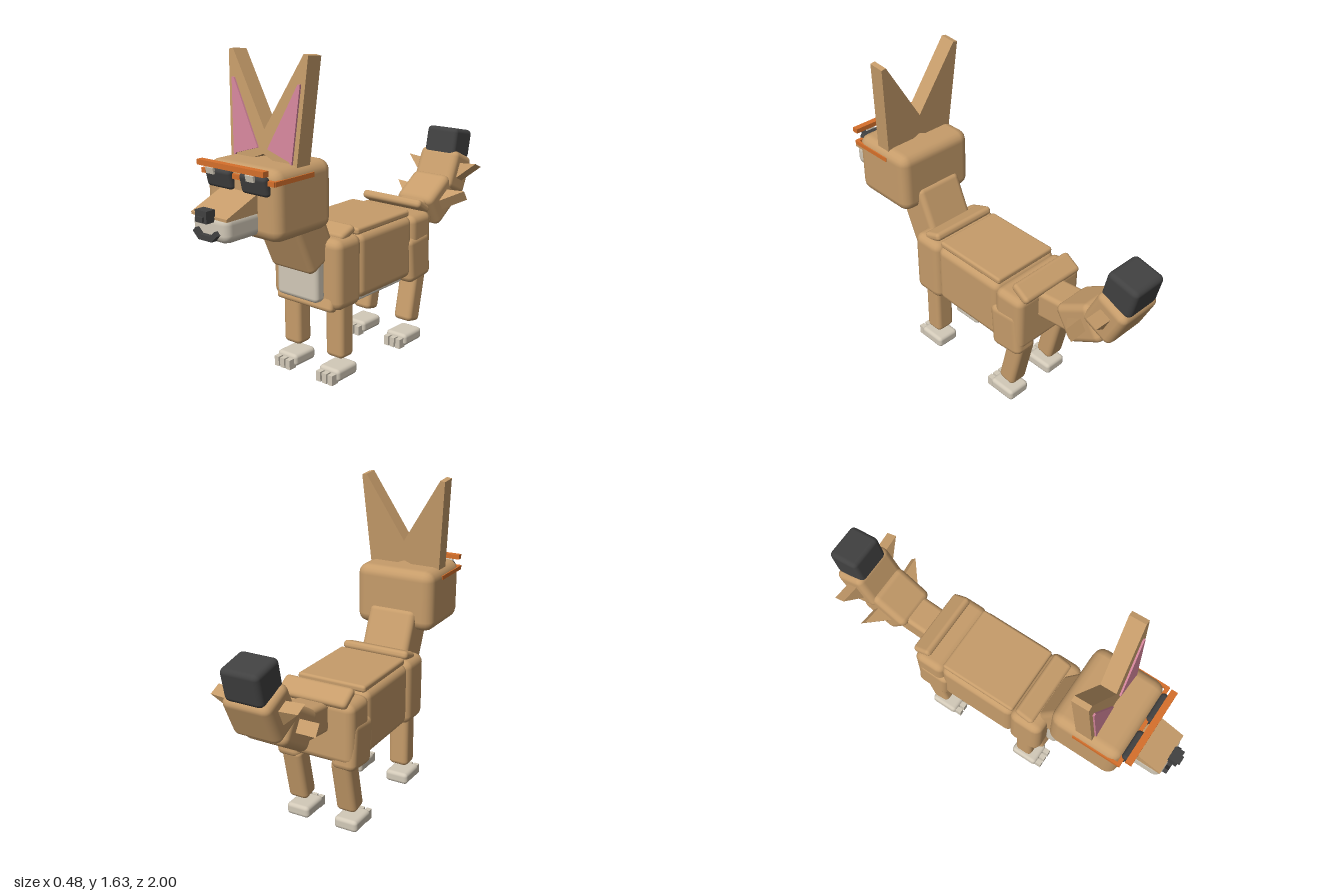
import * as THREE from 'three';
import { RoundedBoxGeometry } from 'three/addons/geometries/RoundedBoxGeometry.js';

const mat = (name, color) => {
  const m = new THREE.MeshStandardMaterial({ color });
  m.name = name;
  return m;
};

export function createModel() {
  const tan = mat('tan fur', 0xc69c6a);
  const cream = mat('cream fur', 0xd2c9b8);
  const black = mat('black', 0x414141);
  const pink = mat('inner ear pink', 0xd4859b);
  const orange = mat('orange frame', 0xd6702b);

  const model = new THREE.Group();
  model.name = 'fox';

  const add = (name, geometry, material, pos = [0, 0, 0], rot = [0, 0, 0], parent = model) => {
    const mesh = new THREE.Mesh(geometry, material);
    mesh.name = name;
    mesh.position.set(...pos);
    mesh.rotation.set(...rot);
    parent.add(mesh);
    return mesh;
  };
  // Soft-edged box: size, edge radius, centre, tilt about x
  const soft = (name, [w, h, d], r, material, pos, tilt = 0, parent = model) =>
    add(name, new RoundedBoxGeometry(w, h, d, 2, r), material, pos, [tilt, 0, 0], parent);
  const box = (name, [w, h, d], material, pos, rot) =>
    add(name, new THREE.BoxGeometry(w, h, d), material, pos, rot);
  // Flat outline extruded and centred on z = 0
  const prism = (points, depth) => {
    const shape = new THREE.Shape(points.map(([x, y]) => new THREE.Vector2(x, y)));
    return new THREE.ExtrudeGeometry(shape, { depth, bevelEnabled: false }).translate(0, 0, -depth / 2);
  };
  const flip = (points, s) => points.map(([x, y]) => [x * s, y]);

  // Torso
  soft('chest', [0.435, 0.36, 0.19], 0.045, tan, [0, 0.555, 0.25]);
  soft('body', [0.42, 0.335, 0.44], 0.04, tan, [0, 0.56, -0.05]);
  soft('hips', [0.435, 0.32, 0.18], 0.04, tan, [0, 0.56, -0.345]);
  soft('backPlate', [0.38, 0.036, 0.43], 0.014, tan, [0, 0.738, -0.05]);
  soft('bellyPlate', [0.34, 0.03, 0.43], 0.01, cream, [0, 0.385, -0.015]);
  soft('shoulderTuft', [0.38, 0.045, 0.11], 0.02, tan, [0, 0.745, 0.232], 0.35);
  soft('rumpTuft', [0.38, 0.045, 0.115], 0.02, tan, [0, 0.742, -0.4], -0.55);
  soft('chestLip', [0.36, 0.09, 0.055], 0.02, tan, [0, 0.412, 0.324], -0.3);
  soft('bib', [0.26, 0.22, 0.07], 0.025, cream, [0, 0.53, 0.37]);
  soft('neck', [0.27, 0.32, 0.2], 0.03, tan, [0, 0.755, 0.405], 0.42);

  // Legs and paws
  for (const s of [-1, 1]) {
    const x = s * 0.14;
    soft('frontLeg', [0.11, 0.3, 0.1], 0.025, tan, [x, 0.26, 0.245]);
    soft('thigh', [0.135, 0.25, 0.19], 0.035, tan, [s * 0.155, 0.487, -0.33], 0.09);
    soft('backLeg', [0.11, 0.3, 0.1], 0.025, tan, [x, 0.265, -0.35], -0.21);
    for (const z of [0.257, -0.3]) {
      soft('paw', [0.13, 0.064, 0.155], 0.02, cream, [x, 0.039, z]);
      for (const i of [-1, 0, 1])
        box('toe', [0.028, 0.052, 0.045], cream, [x + i * 0.038, 0.027, z + 0.087]);
    }
  }

  // Head, snout and mouth
  soft('head', [0.45, 0.33, 0.375], 0.055, tan, [0, 0.985, 0.573]);
  const bridge = prism([[-0.74, 0.95], [-0.74, 1.045], [-0.945, 0.963], [-0.945, 0.95]], 0.22);
  add('snoutBridge', bridge, tan, [0, 0, 0], [0, Math.PI / 2, 0]);
  soft('jaw', [0.22, 0.125, 0.24], 0.04, cream, [0, 0.907, 0.83]);
  box('nose', [0.07, 0.055, 0.05], black, [0, 0.967, 0.965]);
  box('noseTip', [0.04, 0.022, 0.02], black, [0, 0.957, 0.99]);
  box('mouth', [0.085, 0.024, 0.03], black, [0, 0.869, 0.958]);
  for (const s of [-1, 1])
    box('mouthCorner', [0.045, 0.024, 0.03], black, [s * 0.05, 0.882, 0.957], [0, 0, s * 0.75]);

  // Ears, leaning slightly back
  const ears = new THREE.Group();
  ears.name = 'ears';
  ears.position.set(0, 1.12, 0.567);
  ears.rotation.x = -0.085;
  model.add(ears);
  const earOutline = [[0.2, -0.03], [0.24, 0.5], [0.214, 0.505], [0, 0.16], [0, 0.05]];
  const innerOutline = [[0.178, 0.01], [0.208, 0.376], [0.195, 0.376], [0.03, 0.075], [0.165, 0.035]];
  for (const s of [-1, 1]) {
    add('ear', prism(flip(earOutline, s), 0.085), tan, [0, 0, 0], [0, 0, 0], ears);
    add('innerEar', prism(flip(innerOutline, s), 0.009), pink, [0, 0, 0.047], [0, 0, 0], ears);
  }

  // Sunglasses
  box('browBar', [0.41, 0.025, 0.033], orange, [0, 1.146, 0.802]);
  box('frameBar', [0.452, 0.022, 0.02], orange, [0, 1.098, 0.765]);
  for (const s of [-1, 1]) {
    box('temple', [0.014, 0.022, 0.25], orange, [s * 0.221, 1.098, 0.645]);
    soft('lens', [0.16, 0.095, 0.04], 0.019, black, [s * 0.108, 1.08, 0.769], 0.22);
    box('lensGlint', [0.048, 0.03, 0.012], cream, [s * 0.108 - (s < 0 ? 0.032 : 0), 1.113, 0.799], [0.22, 0, 0]);
  }

  // Tail: each segment's axis rises by the given angle toward the back
  const spike = [[0.11, -0.05], [0.225, 0.06], [0.11, 0.05]];
  const tail = [
    ['tailBase', [0.17, 0.155, 0.26], 0.025, tan, [0, 0.645, -0.5], 0.12, false],
    ['tailMiddle', [0.235, 0.2, 0.23], 0.035, tan, [0, 0.703, -0.702], 0.56, true],
    ['tailUpper', [0.25, 0.185, 0.225], 0.035, tan, [0, 0.832, -0.852], 1.14, true],
    ['tailTip', [0.2, 0.175, 0.165], 0.025, black, [0, 0.99, -0.905], 1.36, false],
  ];
  for (const [name, size, r, material, pos, angle, spiked] of tail) {
    const segment = soft(name, size, r, material, pos, angle);
    if (!spiked) continue;
    for (const s of [-1, 1])
      add('tailSpike', prism(flip(spike, s), 0.065), tan, [0, 0.005, 0], [-Math.PI / 2, 0, 0], segment);
  }

  return model;
}
